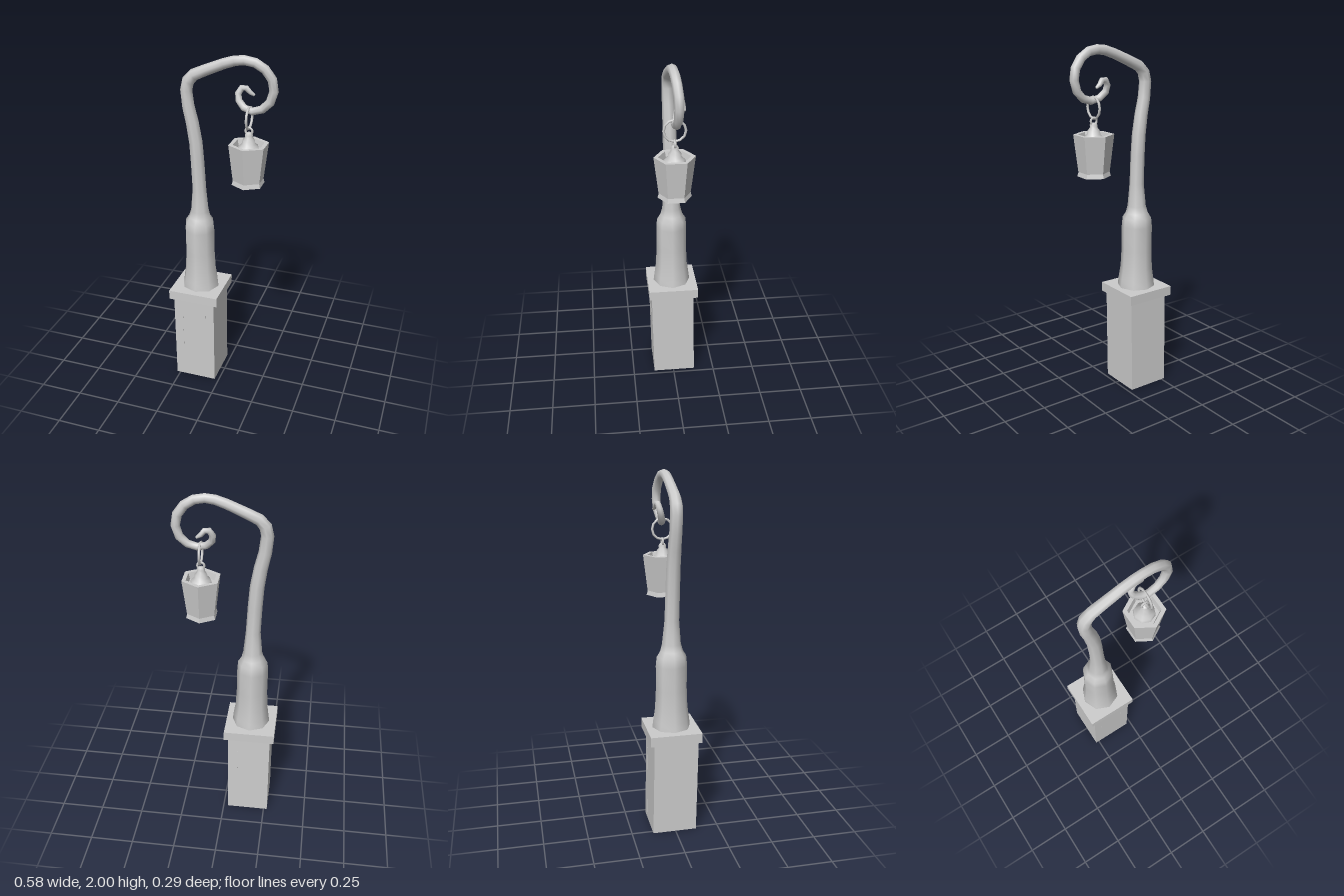
import * as THREE from 'three';

const smooth = () => new THREE.MeshStandardMaterial({ color: 0xcccccc });
const flat = () => new THREE.MeshStandardMaterial({ color: 0xcccccc, flatShading: true });

function add(parent, name, geometry, material, x = 0, y = 0, z = 0) {
  const mesh = new THREE.Mesh(geometry, material);
  mesh.name = name;
  mesh.position.set(x, y, z);
  parent.add(mesh);
  return mesh;
}

// Sweep rings of varying radius along rows of [x, y, z, radius]
function sweep(rows, sides) {
  const pos = [], idx = [];
  const centres = rows.map(([x, y, z]) => new THREE.Vector3(x, y, z));
  const zAxis = new THREE.Vector3(0, 0, 1);
  const last = rows.length - 1;
  rows.forEach((row, i) => {
    const before = centres[Math.max(i - 1, 0)], after = centres[Math.min(i + 1, last)];
    const t = after.clone().sub(before).normalize();
    const n = zAxis.clone().cross(t).normalize();
    const b = t.clone().cross(n);
    for (let j = 0; j < sides; j++) {
      const a = (j / sides) * Math.PI * 2;
      const p = centres[i].clone()
        .addScaledVector(n, Math.cos(a) * row[3])
        .addScaledVector(b, Math.sin(a) * row[3]);
      pos.push(p.x, p.y, p.z);
      if (i < last) {
        const k = i * sides, j2 = (j + 1) % sides;
        idx.push(k + j, k + j2, k + sides + j, k + j2, k + sides + j2, k + sides + j);
      }
    }
  });
  const g = new THREE.BufferGeometry();
  g.setAttribute('position', new THREE.Float32BufferAttribute(pos, 3));
  g.setIndex(idx);
  g.computeVertexNormals();
  return g;
}

const lathe = (profile, sides) =>
  new THREE.LatheGeometry(profile.map(([r, y]) => new THREE.Vector2(r, y)), sides);

export function createModel() {
  const model = new THREE.Group();
  model.name = 'streetLamp';

  // Pedestal, leaning very slightly, with its cap slab
  const block = new THREE.BoxGeometry(0.245, 0.55, 0.25);
  const p = block.attributes.position;
  for (let i = 0; i < p.count; i++) p.setZ(i, p.getZ(i) + Math.sign(p.getY(i)) * 0.005);
  add(model, 'pedestal', block, flat(), -0.148, 0.275, 0);
  add(model, 'pedestalCap', new THREE.BoxGeometry(0.292, 0.055, 0.29), flat(), -0.149, 0.5775, 0);

  // Fine upright cracks on the front and back: x, low y, high y, side
  for (const [x, y0, y1, side] of [[-0.22, 0.22, 0.45, 1], [-0.08, 0.32, 0.55, 1], [-0.08, 0.03, 0.45, -1]]) {
    const y = (y0 + y1) / 2;
    const crack = add(model, 'crack', new THREE.BoxGeometry(0.004, y1 - y0, 0.002), flat(),
      x, y, side * 0.125 + (y - 0.275) * 0.018);
    crack.rotation.x = 0.018;
  }

  // Gnarled post sleeve, stem, arm and curl in one sweep
  add(model, 'post', sweep([
    [-0.147, 0.60, 0, 0.109], [-0.147, 0.65, 0, 0.103], [-0.148, 0.72, 0, 0.093],
    [-0.149, 0.83, 0, 0.088], [-0.150, 0.97, 0, 0.088], [-0.150, 1.02, 0, 0.083],
    [-0.149, 1.05, 0, 0.064], [-0.148, 1.09, 0, 0.053], [-0.148, 1.22, 0.002, 0.041],
    [-0.155, 1.38, 0.005, 0.040], [-0.163, 1.50, 0.006, 0.039], [-0.180, 1.61, 0.008, 0.037],
    [-0.200, 1.70, 0.01, 0.035], [-0.209, 1.79, 0.012, 0.034], [-0.197, 1.84, 0.013, 0.034],
    [-0.165, 1.875, 0.014, 0.032], [-0.10, 1.905, 0.015, 0.030], [0.0, 1.948, 0.016, 0.028],
    [0.06, 1.968, 0.016, 0.027], [0.11, 1.974, 0.015, 0.026], [0.165, 1.965, 0.012, 0.026],
    [0.215, 1.935, 0.008, 0.026], [0.252, 1.885, 0.003, 0.026], [0.263, 1.825, 0.002, 0.025],
    [0.245, 1.765, 0.004, 0.024], [0.205, 1.725, 0.008, 0.022], [0.153, 1.709, 0.010, 0.021],
    [0.105, 1.722, 0.002, 0.020], [0.073, 1.755, -0.010, 0.019], [0.068, 1.790, -0.018, 0.018],
    [0.085, 1.818, -0.024, 0.017], [0.108, 1.818, -0.028, 0.016], [0.128, 1.795, -0.033, 0.013],
    [0.150, 1.782, -0.036, 0.008], [0.153, 1.781, -0.036, 0.001],
  ], 8), smooth());

  // Hanging six-sided lantern with recessed top
  const lantern = new THREE.Group();
  lantern.name = 'lantern';
  lantern.position.set(0.137, 0, 0.011);
  model.add(lantern);
  add(lantern, 'lanternBase', lathe([[0, 1.30], [0.092, 1.30], [0.082, 1.335], [0, 1.335]], 6), flat());
  add(lantern, 'lanternBody', lathe([
    [0, 1.325], [0.086, 1.325], [0.111, 1.53], [0.087, 1.53], [0.078, 1.495], [0, 1.495],
  ], 6), flat());
  add(lantern, 'lanternFinial', lathe([
    [0.06, 1.495], [0.055, 1.515], [0.037, 1.53], [0.034, 1.55], [0.02, 1.568],
    [0.022, 1.58], [0.014, 1.592], [0, 1.594],
  ], 8), smooth());

  // Eyelet on the finial and the large ring that hangs from the curl
  add(lantern, 'eyelet', new THREE.TorusGeometry(0.019, 0.007, 6, 10), smooth(), 0, 1.6, 0);
  const ring = add(lantern, 'hangingRing', new THREE.TorusGeometry(0.058, 0.007, 6, 12), smooth(), 0, 1.672, 0);
  ring.rotation.y = Math.PI / 2;

  return model;
}
